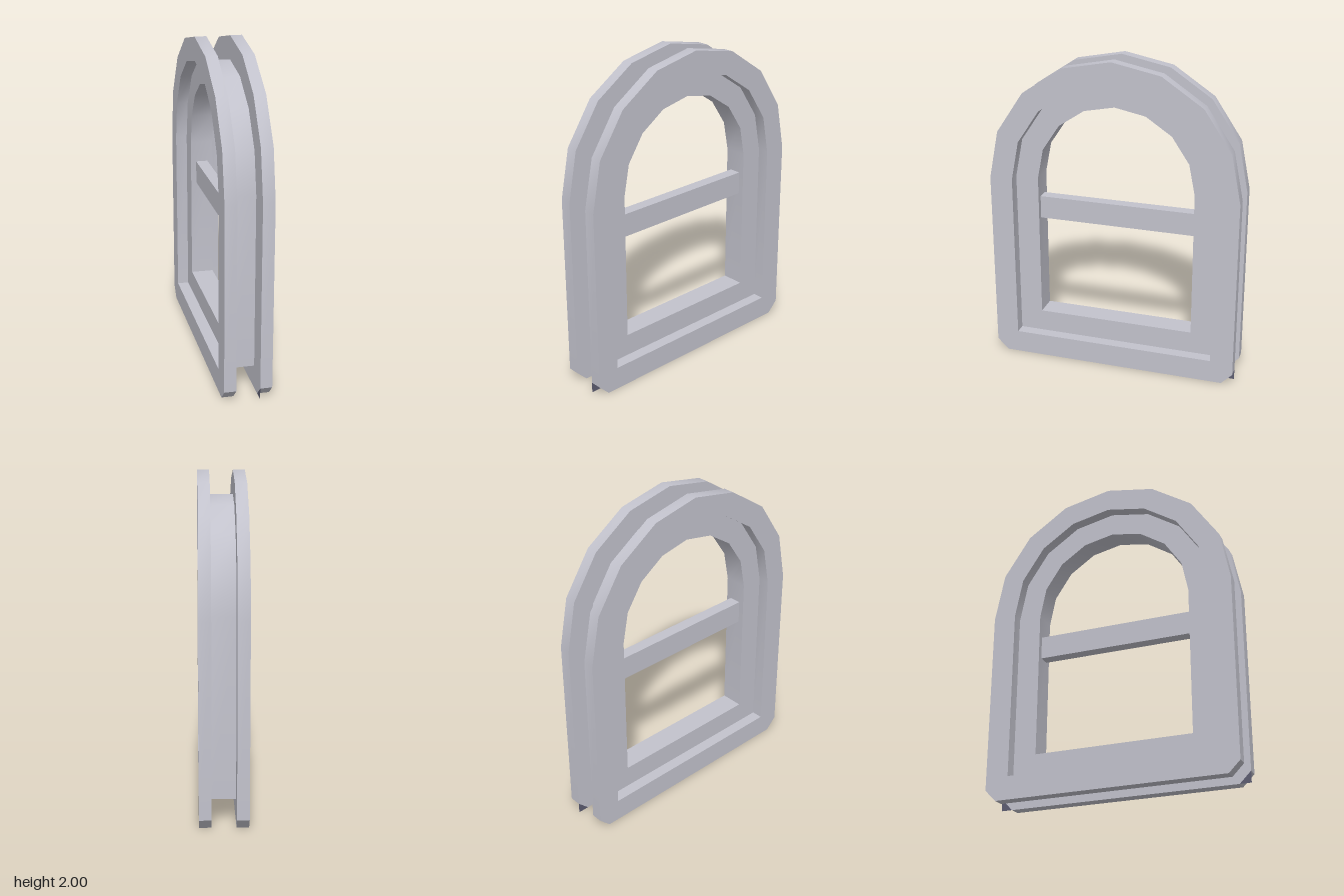
import * as THREE from 'three';
import { toCreasedNormals } from 'three/addons/utils/BufferGeometryUtils.js';

const SPRING = 1.21; // height where the arch begins

// Arched outline: flat base at the given height, optional cut lower corners
function archPoints(radius, base, cut = 0) {
  const pts = [];
  if (cut) pts.push([-radius, base + cut], [-radius + cut, base], [radius - cut, base], [radius, base + cut]);
  else pts.push([-radius, base], [radius, base]);
  for (let i = 0; i <= 8; i++) {
    const a = (i / 8) * Math.PI;
    pts.push([radius * Math.cos(a), SPRING + radius * Math.sin(a)]);
  }
  return pts.map(([u, v]) => new THREE.Vector2(u, v));
}

// Arched ring extruded along x from x0 to x1
function archRing(outer, inner, x0, x1) {
  const shape = new THREE.Shape(outer);
  shape.holes.push(new THREE.Path(inner));
  const geo = new THREE.ExtrudeGeometry(shape, { depth: x1 - x0, bevelEnabled: false });
  geo.translate(0, 0, x0);
  geo.rotateY(Math.PI / 2);
  return toCreasedNormals(geo, Math.PI / 6);
}

export function createModel() {
  const group = new THREE.Group();
  const frameMat = new THREE.MeshStandardMaterial({ color: 0xc2c2cc });
  frameMat.name = 'pale grey frame';
  const darkMat = new THREE.MeshStandardMaterial({ color: 0x5c5c70, side: THREE.DoubleSide });
  darkMat.name = 'dark grey corner';

  const add = (geo, mat, name) => {
    const mesh = new THREE.Mesh(geo, mat);
    mesh.name = name;
    group.add(mesh);
    return mesh;
  };

  // Narrow central frame lining the opening
  add(archRing(archPoints(0.645, 0.145), archPoints(0.5, 0.285), -0.072, 0.072), frameMat, 'innerFrame');

  // Wide trim on both faces, with cut lower corners
  const trim = (x0, x1, name) =>
    add(archRing(archPoints(0.79, 0, 0.07), archPoints(0.645, 0.145), x0, x1), frameMat, name);
  trim(0.072, 0.144, 'leftTrim');
  trim(-0.144, -0.072, 'rightTrim');

  // Crossbar
  const bar = add(new THREE.BoxGeometry(0.075, 0.145, 1.0), frameMat, 'crossbar');
  bar.position.y = 1.005;

  // Thin corner webs behind the cut corners of the left trim
  for (const s of [-1, 1]) {
    const web = new THREE.Shape([
      new THREE.Vector2(s * 0.79, 0),
      new THREE.Vector2(s * 0.79, 0.07),
      new THREE.Vector2(s * 0.72, 0),
    ]);
    const geo = new THREE.ShapeGeometry(web);
    geo.rotateY(Math.PI / 2);
    geo.translate(0.072, 0, 0);
    add(geo, darkMat, s > 0 ? 'backCornerWeb' : 'frontCornerWeb');
  }

  return group;
}
